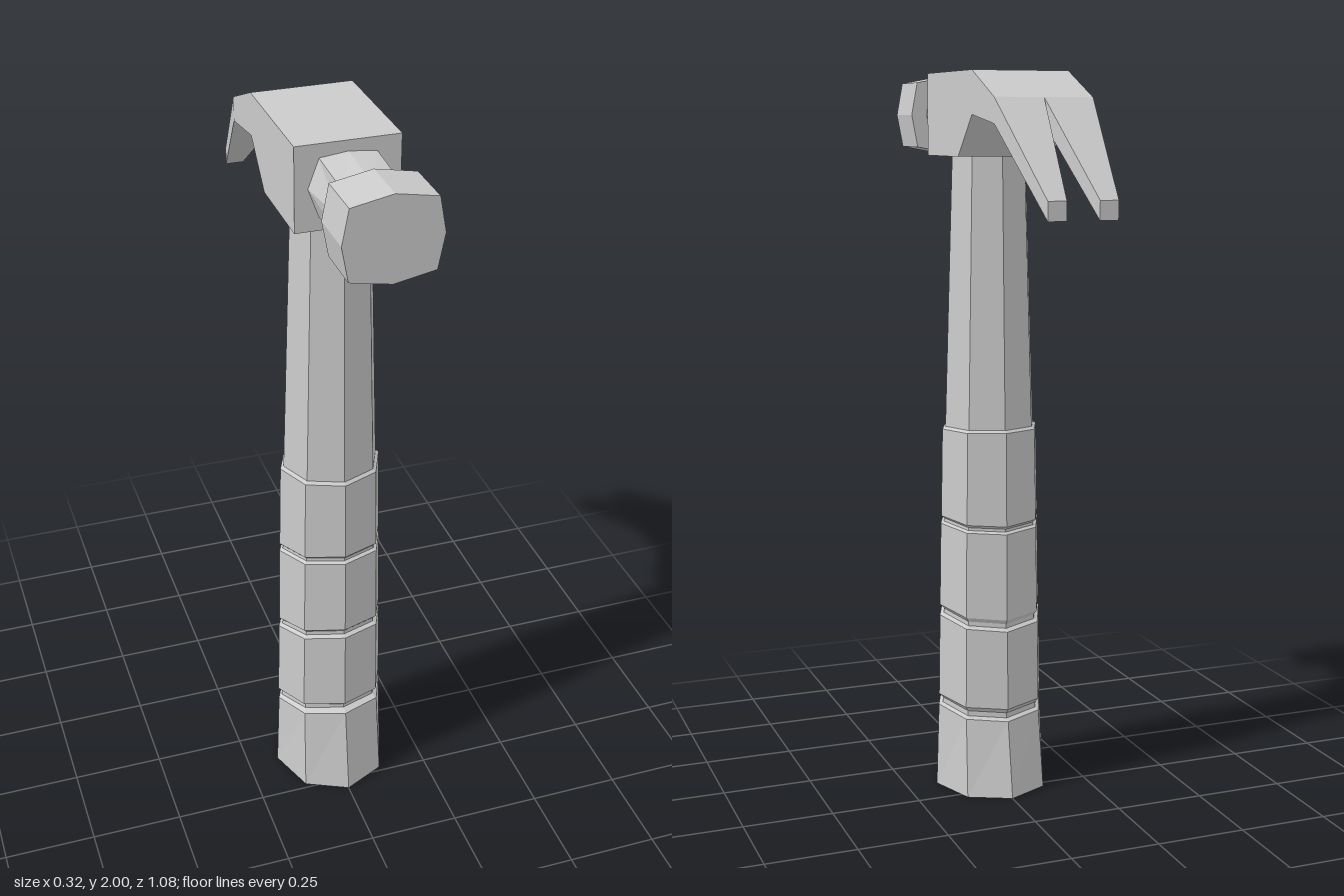
import * as THREE from 'three';

const material = new THREE.MeshStandardMaterial({ color: 0xcccccc, flatShading: true });

// Skin a row of equal-length loops and cap both ends.
function loft(name, loops) {
  const pos = [];
  const tri = (a, b, c) => pos.push(...a, ...b, ...c);
  const n = loops[0].length;
  for (let k = 0; k < loops.length - 1; k++) {
    for (let i = 0; i < n; i++) {
      const j = (i + 1) % n, p = loops[k], q = loops[k + 1];
      tri(p[i], p[j], q[j]);
      tri(p[i], q[j], q[i]);
    }
  }
  const first = loops[0], last = loops[loops.length - 1];
  for (let i = 1; i < n - 1; i++) {
    tri(first[0], first[i + 1], first[i]);
    tri(last[0], last[i], last[i + 1]);
  }
  const geometry = new THREE.BufferGeometry();
  geometry.setAttribute('position', new THREE.Float32BufferAttribute(pos, 3));
  geometry.computeVertexNormals();
  const mesh = new THREE.Mesh(geometry, material);
  mesh.name = name;
  return mesh;
}

// Octagonal handle ring, tilted from yFront down to yBack.
function handleRing([yFront, yBack, rx, zFront, zBack]) {
  return Array.from({ length: 8 }, (_, i) => {
    const a = (i * Math.PI) / 4, t = (1 + Math.cos(a)) / 2;
    return [rx * Math.sin(a), yBack + (yFront - yBack) * t, zBack + (zFront - zBack) * t];
  });
}

// Squarish octagon around the striking axis: axis radii and corner offsets.
function headRing(z, rx, ry, cx, cy) {
  return [[rx, 0], [cx, cy], [0, ry], [-cx, cy], [-rx, 0], [-cx, -cy], [0, -ry], [cx, -cy]]
    .map(([x, y]) => [x, 1.89 + y, z]);
}

export function createModel() {
  const group = new THREE.Group();

  // Grip with a flared butt and three slanted grooves
  const grip = [
    [0, 0, 0.162, 0.29, -0.08],
    [0.26, 0.215, 0.154, 0.255, -0.045],
    [0.267, 0.222, 0.144, 0.235, -0.032],
    [0.28, 0.237, 0.143, 0.235, -0.032],
    [0.29, 0.25, 0.154, 0.247, -0.042],
    [0.53, 0.475, 0.15, 0.245, -0.04],
    [0.535, 0.483, 0.139, 0.232, -0.028],
    [0.547, 0.495, 0.138, 0.232, -0.028],
    [0.558, 0.507, 0.149, 0.243, -0.035],
    [0.783, 0.752, 0.145, 0.24, -0.033],
    [0.788, 0.758, 0.136, 0.23, -0.024],
    [0.797, 0.766, 0.135, 0.23, -0.024],
    [0.805, 0.774, 0.144, 0.237, -0.033],
    [1.035, 1.035, 0.139, 0.234, -0.029],
    [1.042, 1.042, 0.13, 0.225, -0.02],
  ];
  group.add(loft('grip', grip.map(handleRing)));

  // Tapering shaft
  group.add(loft('shaft', [
    [1.042, 1.042, 0.13, 0.225, -0.02],
    [1.79, 1.79, 0.106, 0.204, 0.0],
  ].map(handleRing)));

  // Head block and the solid part of the claw, a side profile extruded across x
  const w = 0.133;
  const profile = new THREE.Shape([
    [0.227, 1.78], [0.227, 2.0], [-0.13, 2.0], [-0.29, 1.93],
    [-0.29, 1.865], [-0.13, 1.888], [-0.022, 1.78],
  ].map(([z, y]) => new THREE.Vector2(-z, y)));
  const headGeometry = new THREE.ExtrudeGeometry(profile, { depth: 2 * w, bevelEnabled: false });
  headGeometry.translate(0, 0, -w).rotateY(Math.PI / 2);
  const head = new THREE.Mesh(headGeometry, material);
  head.name = 'headBlock';
  group.add(head);

  // Claw prongs, split by a V notch
  const prongLoop = (x0, x1, y0, y1, z) => [[x1, y0, z], [x0, y0, z], [x0, y1, z], [x1, y1, z]];
  group.add(loft('leftProng', [
    prongLoop(0, w, 1.865, 1.93, -0.29), prongLoop(0.043, 0.092, 1.637, 1.685, -0.54),
  ]));
  group.add(loft('rightProng', [
    prongLoop(-w, 0, 1.865, 1.93, -0.29), prongLoop(-0.092, -0.043, 1.637, 1.685, -0.54),
  ]));

  // Neck and striking face
  group.add(loft('neck', [
    headRing(0.22, 0.1, 0.083, 0.072, 0.075), headRing(0.405, 0.078, 0.072, 0.07, 0.062),
  ]));
  group.add(loft('strikingFace', [
    headRing(0.4, 0.123, 0.11, 0.106, 0.09), headRing(0.54, 0.123, 0.11, 0.106, 0.09),
  ]));

  return group;
}
